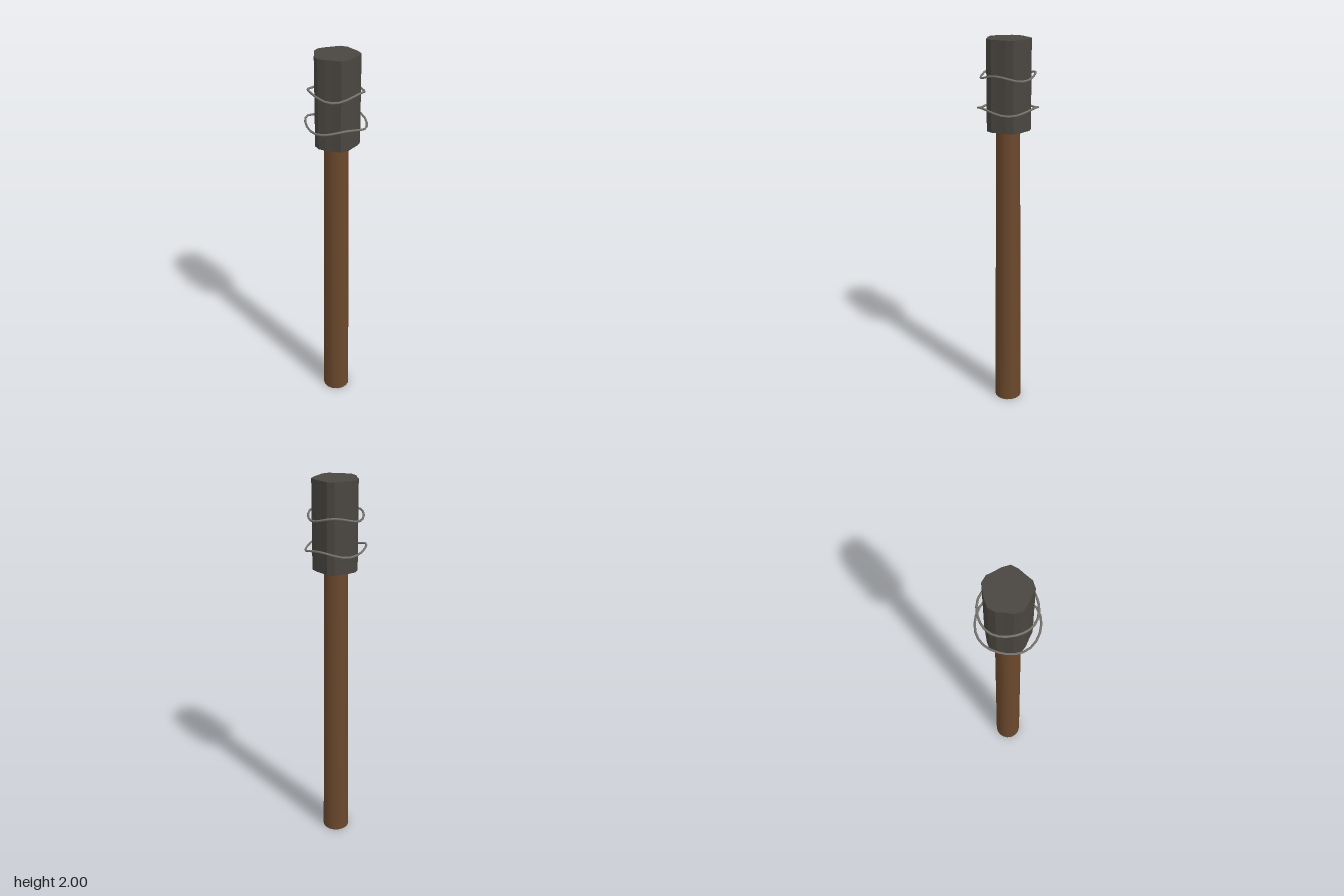
import * as THREE from 'three';

export function createModel() {
  const model = new THREE.Group();
  const wood = new THREE.MeshStandardMaterial({ color: 0x6b482c });
  wood.name = 'brown wood';
  const stone = new THREE.MeshStandardMaterial({ color: 0x4a4640, flatShading: true });
  stone.name = 'dark stone';
  const wire = new THREE.MeshStandardMaterial({ color: 0x77746e });
  wire.name = 'grey wire';

  const add = (name, geometry, material) => {
    const mesh = new THREE.Mesh(geometry, material);
    mesh.name = name;
    model.add(mesh);
    return mesh;
  };

  // Tapered round handle
  const bottom = 0, top = 1.56;
  add('handle', new THREE.CylinderGeometry(0.061, 0.0725, top - bottom, 16), wood)
    .position.y = (top + bottom) / 2;

  // Irregular head: outline in x, z, extruded upwards
  const outline = [
    [-0.115, 0], [-0.105, 0.036], [-0.078, 0.065], [-0.055, 0.095], [-0.02, 0.112],
    [0.018, 0.103], [0.05, 0.088], [0.089, 0.072], [0.106, 0.037], [0.102, 0],
    [0.1, -0.04], [0.089, -0.077], [0.052, -0.095], [0.018, -0.102], [-0.02, -0.112],
    [-0.057, -0.1], [-0.1, -0.035],
  ];
  const shape = new THREE.Shape(outline.map(([x, z]) => new THREE.Vector2(x, -z)));
  const headGeometry = new THREE.ExtrudeGeometry(shape, { depth: 0.45, bevelEnabled: false });
  headGeometry.rotateX(-Math.PI / 2);
  add('head', headGeometry, stone).position.y = 1.55;

  // Wire loops that rise and dip three times around the head
  const wireLoop = (name, radius, y, phase) => {
    const geometry = new THREE.TorusGeometry(radius, 0.0055, 6, 24).rotateX(Math.PI / 2);
    const p = geometry.attributes.position;
    for (let i = 0; i < p.count; i++) {
      const angle = Math.atan2(p.getZ(i), p.getX(i));
      p.setY(i, p.getY(i) + 0.013 * Math.sin(3 * angle + phase));
    }
    add(name, geometry, wire).position.y = y;
  };
  wireLoop('lowerWire', 0.15, 1.66, 0);
  wireLoop('upperWire', 0.135, 1.822, 1.65);

  return model;
}
